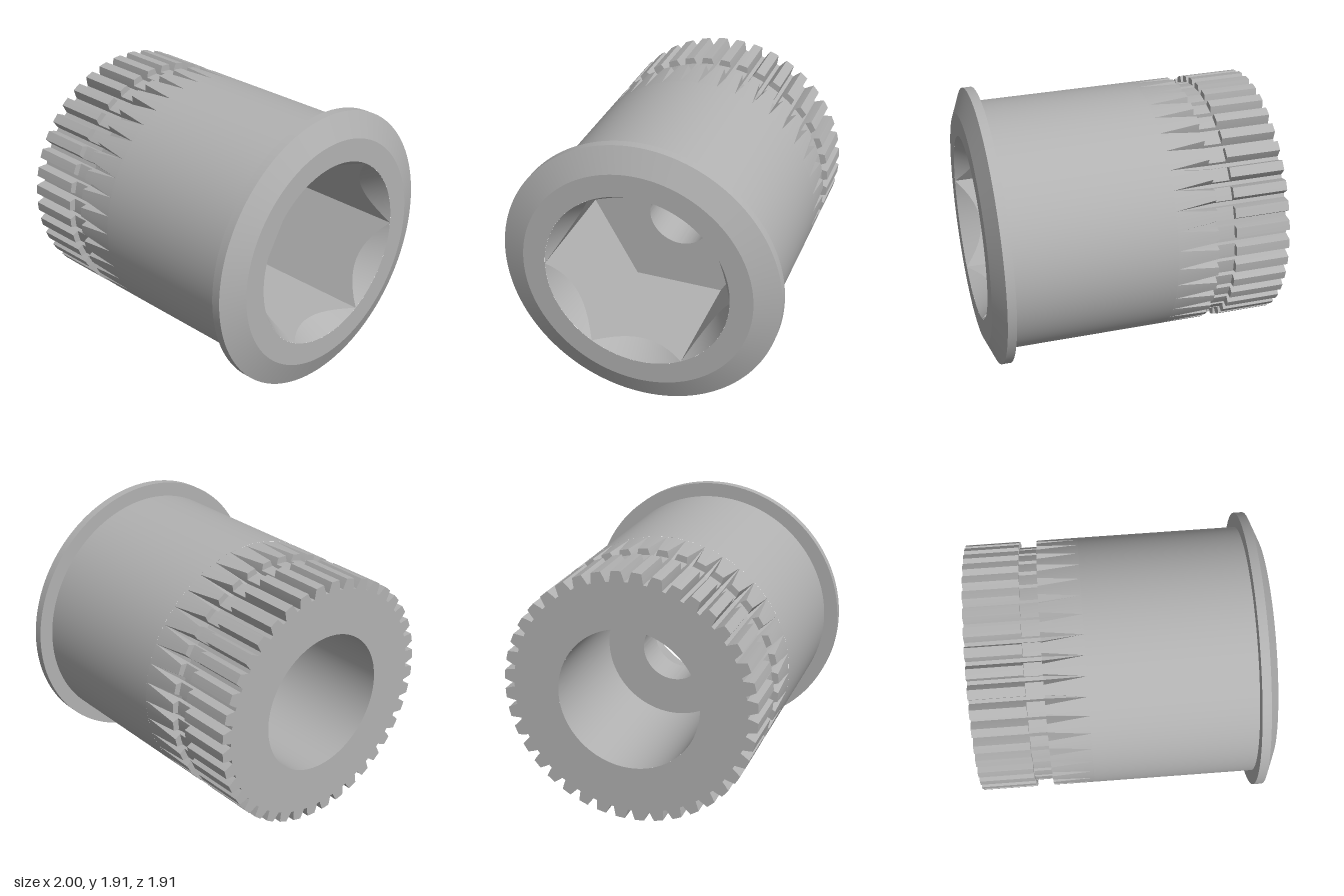
import * as THREE from 'three';
import { toCreasedNormals } from 'three/addons/utils/BufferGeometryUtils.js';

const CREASE = 0.2;
const R = 0.858;        // body radius
const NECK = 0.815;     // radius of the ring groove across the splines
const TEETH = 40;
const BORE = 0.48, HOLE = 0.22;
const SOCKET_FLOOR = 0.15, BORE_END = -0.1;

// Joins closed rings of [x, radius, angle] points into a surface around the x axis
function loft(rings) {
  const pos = [];
  const point = ([x, r, a]) => new THREE.Vector3(x, r * Math.sin(a), r * Math.cos(a));
  const rows = rings.map(ring => ring.map(point));
  const tri = new THREE.Triangle();
  const add = (a, b, c) => {
    tri.set(a, b, c);
    if (tri.getArea() > 1e-8) for (const p of [a, b, c]) pos.push(p.x, p.y, p.z);
  };
  for (let i = 0; i + 1 < rows.length; i++) {
    const n = rows[i].length;
    for (let j = 0; j < n; j++) {
      const k = (j + 1) % n;
      add(rows[i][j], rows[i + 1][j], rows[i + 1][k]);
      add(rows[i][j], rows[i + 1][k], rows[i][k]);
    }
  }
  const geo = new THREE.BufferGeometry();
  geo.setAttribute('position', new THREE.Float32BufferAttribute(pos, 3));
  return toCreasedNormals(geo, CREASE);
}

// Turns a [radius, x] profile around the x axis
function turned(profile) {
  const geo = new THREE.LatheGeometry(profile.map(p => new THREE.Vector2(...p)), 160);
  return toCreasedNormals(geo.rotateZ(-Math.PI / 2), CREASE);
}

// One splined cross-section; depth scales the grooves, limit clips the teeth
function splineRing(x, depth, limit = R, fixedRadius = 0) {
  const groove = [[-0.035, R], [-0.021, NECK], [-0.014, 0.79], [0.014, 0.79], [0.021, NECK], [0.035, R]];
  const pitch = Math.PI * 2 / TEETH;
  const ring = [];
  for (let t = 0; t < TEETH; t++) {
    for (const [w, r] of groove) {
      const radius = fixedRadius || Math.min(limit, R + (r - R) * depth);
      ring.push([x, radius, t * pitch + (w / R) * depth]);
    }
    ring.push([x, fixedRadius || limit, (t + 0.5) * pitch]);
  }
  return ring;
}

// Ring of the hex socket; radius and x follow from the hexagon's radius at each angle
function hexRing(place) {
  const ring = [];
  const n = 72, sector = Math.PI / 3;
  for (let j = 0; j < n; j++) {
    const a = j / n * Math.PI * 2;
    const hex = 0.55 / Math.cos((a % sector) - sector / 2);
    const [x, r] = place(hex);
    ring.push([x, r, a + 0.017]);
  }
  return ring;
}

export function createModel() {
  const group = new THREE.Group();
  const steel = new THREE.MeshStandardMaterial({ color: 0xb2b2b2 });
  steel.name = 'grey steel';
  const add = (name, geo) => {
    const mesh = new THREE.Mesh(geo, steel);
    mesh.name = name;
    mesh.position.y = 0.957;
    group.add(mesh);
  };

  // Smooth barrel with chamfered flange and front face
  add('barrelAndFlange', turned([
    [R, -0.23], [R, 0.87], [0.957, 0.87], [0.957, 0.93], [0.79, 1], [0.635, 1],
  ]));

  // End face, splines, ring groove and tapering groove run-outs
  add('splinedEnd', loft([
    splineRing(-1, 1, R, BORE),
    splineRing(-1, 1),
    splineRing(-0.63, 1),
    splineRing(-0.63, 1, NECK),
    splineRing(-0.51, 1, NECK),
    splineRing(-0.51, 1),
    splineRing(-0.23, 0),
  ]));

  // Hex socket with conical lead-in and floor
  const rim = 0.635;
  add('hexSocket', loft([
    hexRing(() => [1, rim]),
    hexRing(h => [1 - Math.max(0, rim - h) * 1.7, h]),
    hexRing(h => [SOCKET_FLOOR, h]),
    hexRing(() => [SOCKET_FLOOR, HOLE]),
  ]));

  // Through hole and wide rear bore
  add('rearBore', turned([
    [HOLE, SOCKET_FLOOR], [HOLE, BORE_END], [BORE, BORE_END], [BORE, -1],
  ]));

  return group;
}
